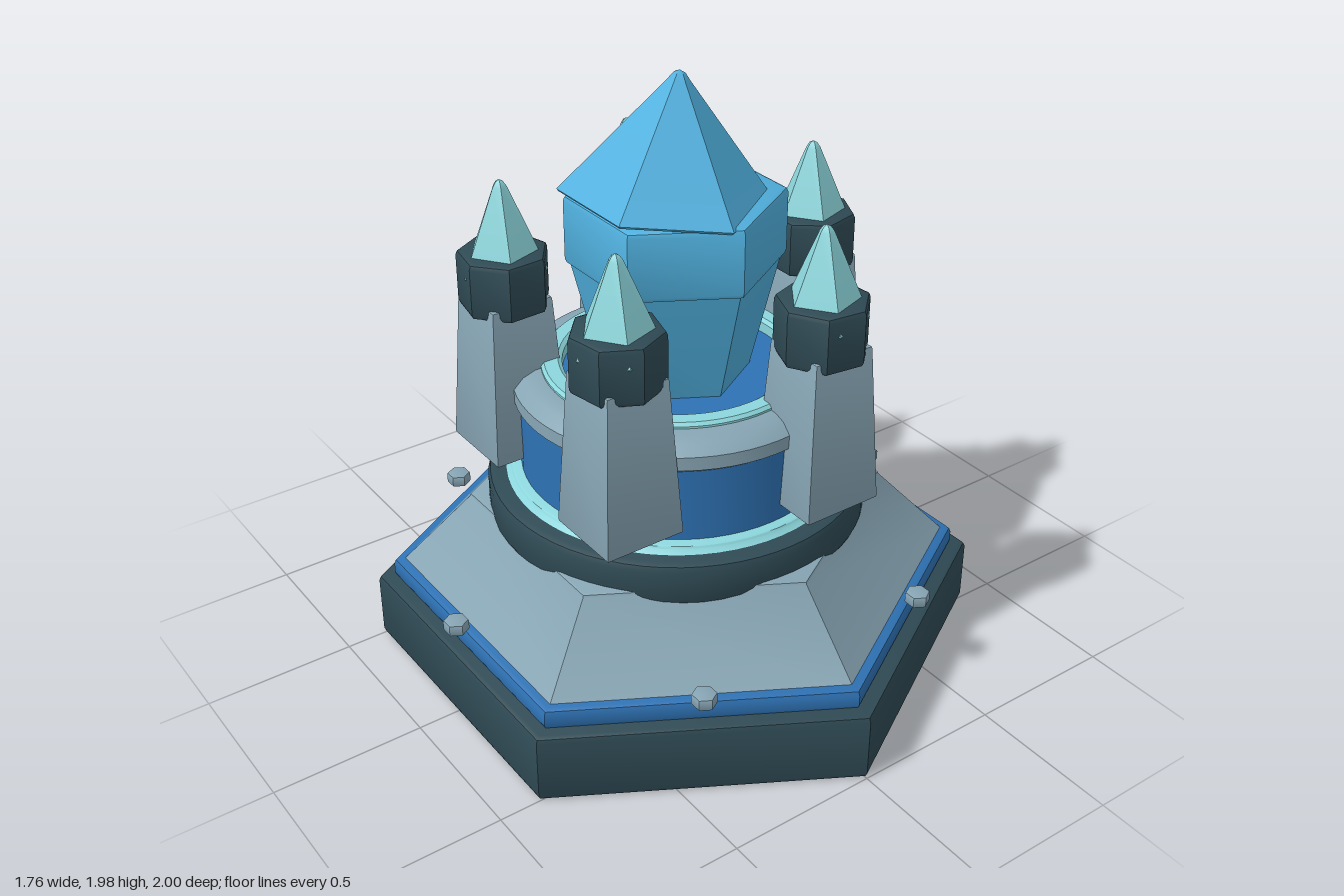
import * as THREE from 'three';
import { toCreasedNormals } from 'three/addons/utils/BufferGeometryUtils.js';

const paint = (name, color) => {
  const m = new THREE.MeshStandardMaterial({ color });
  m.name = name;
  return m;
};

export function createModel() {
  const model = new THREE.Group();
  model.name = 'crystalTower';

  const slate = paint('dark slate', 0x2f4a54);
  const blue = paint('deep blue', 0x2e72b4);
  const stone = paint('grey stone', 0x87a5b4);
  const aqua = paint('pale aqua', 0x8cd6dc);
  const crystalBlue = paint('crystal blue', 0x50b0de);

  // Turned or faceted solid from [radius, y] points, first corner on +z
  const turned = (name, material, sides, points, parent = model) => {
    const profile = points.map(([r, y]) => new THREE.Vector2(r, y));
    const geometry = toCreasedNormals(new THREE.LatheGeometry(profile, sides), 0.55);
    const mesh = new THREE.Mesh(geometry, material);
    mesh.name = name;
    parent.add(mesh);
    return mesh;
  };

  // Capped block with bevelled rims
  const block = (r0, r1, y0, y1, b) => [
    [0, y0], [r0 - b, y0], [r0 - b * 0.3, y0 + b * 0.3], [r0, y0 + b],
    [r1, y1 - b], [r1 - b * 0.3, y1 - b * 0.3], [r1 - b, y1], [0, y1],
  ];

  // Hexagonal plinth
  turned('basePlinth', slate, 6, block(1, 1, 0, 0.24, 0.02));
  turned('plinthTrim', blue, 6, block(0.945, 0.945, 0.23, 0.305, 0.02));
  turned('slopedPlinth', stone, 6, block(0.91, 0.68, 0.29, 0.55, 0.012));

  // Studs around the plinth, one to each side
  for (let i = 0; i < 6; i++) {
    const a = (i * Math.PI) / 3;
    const stud = turned('stud', stone, 6, block(0.04, 0.04, 0.32, 0.36, 0.006));
    stud.position.set(0.845 * Math.cos(a), 0, 0.845 * Math.sin(a));
  }

  // Round drum with its collars
  turned('drumCollar', slate, 64, block(0.615, 0.615, 0.5, 0.65, 0.025));
  turned('lowerTrim', aqua, 64, block(0.555, 0.54, 0.64, 0.672, 0.01));
  turned('drum', blue, 64, [[0.505, 0.65], [0.505, 0.99], [0, 0.99]]);
  turned('drumRim', stone, 64, [
    [0.42, 0.905], [0.49, 0.905], [0.523, 0.93], [0.523, 0.975],
    [0.49, 1.005], [0.45, 1.018], [0.4, 1.018], [0.38, 0.98],
  ]);
  turned('upperTrim', aqua, 64, [
    [0.43, 1.005], [0.43, 1.025], [0.42, 1.035], [0.375, 1.035],
    [0.362, 1.025], [0.362, 0.98],
  ]);

  // Five turrets
  for (let i = 0; i < 5; i++) {
    const a = (i * Math.PI * 2) / 5;
    const turret = new THREE.Group();
    turret.name = 'turret';
    turret.position.set(0.533 * Math.cos(a), 0, 0.533 * Math.sin(a));
    model.add(turret);

    // Square shaft, kept in line with the axes
    const shaft = turned('turretShaft', stone, 4,
      block(0.135 * Math.SQRT2, 0.106 * Math.SQRT2, 0.72, 1.25, 0.008), turret);
    shaft.rotation.y = Math.PI / 4;

    // Cap with a corner pointing outwards
    const cap = turned('turretCap', slate, 7, block(0.146, 0.146, 1.21, 1.4, 0.018), turret);
    cap.rotation.y = Math.PI / 2 - a;

    // Pointed roof with an edge facing the centre
    const spike = turned('turretSpike', aqua, 5, [
      [0, 1.325], [0.13, 1.325], [0.138, 1.335], [0.023, 1.61], [0.012, 1.626], [0, 1.632],
    ], turret);
    spike.rotation.y = -Math.PI / 2 - a;
  }

  // Central crystal: tapered root, band and slightly tilted point
  turned('crystalRoot', crystalBlue, 6, block(0.235, 0.328, 0.985, 1.385, 0.006));
  turned('crystalBand', crystalBlue, 6, block(0.342, 0.342, 1.368, 1.597, 0.018));
  const tip = turned('crystalPoint', crystalBlue, 6, [
    [0, 0], [0.325, 0], [0.333, 0.008], [0.035, 0.365], [0.018, 0.388], [0, 0.396],
  ]);
  tip.position.set(-0.035, 1.583, 0);
  tip.rotation.z = -0.12;

  return model;
}
